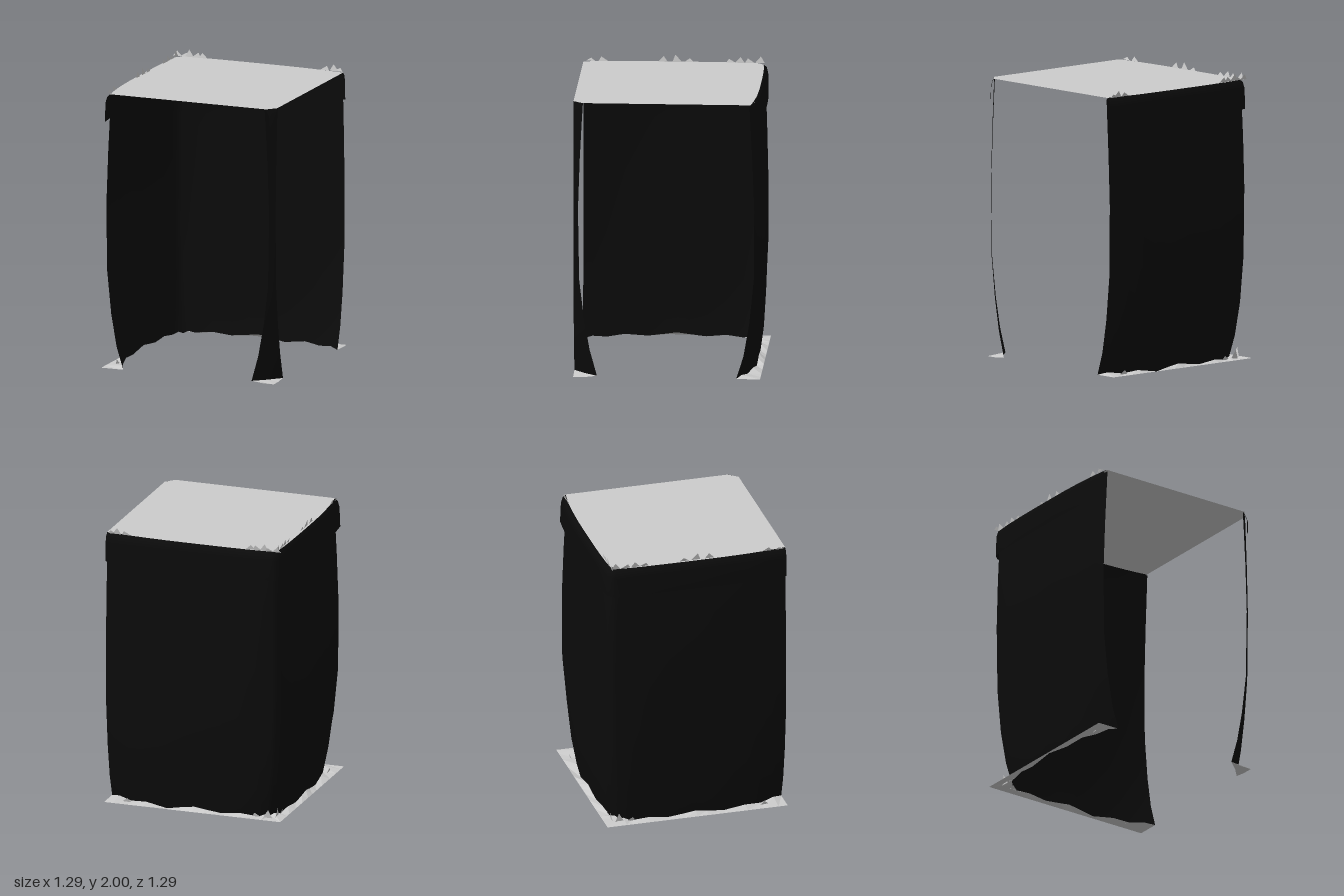
import * as THREE from 'three';

const H = 0.645; // half width of the square footprint
const TOP = 1.95;
const FLOOR = 0.01;

const black = new THREE.MeshStandardMaterial({ color: 0x0b0b0b, side: THREE.DoubleSide });
const grey = new THREE.MeshStandardMaterial({ color: 0xcccccc, side: THREE.DoubleSide, flatShading: true });

// Bowed L-shaped outline: along the back, round the corner, along the side.
// e = depth at the open ends, m = depth at mid wall, c = depth at the corner.
function outline(e, m, c) {
  const half = [H, 0.58, 0.48, 0.36, 0.2, 0.08, 0, -0.08, -0.2, -0.34, -0.46].map((x) => {
    const k = Math.pow(Math.abs(x) / H, 3);
    const end = x > 0 ? e : e + (m - e) * 0.5;
    return [x, -(m - (m - end) * k)];
  });
  half.push([-(c - 0.025), -Math.min(H, c + 0.022)]);
  const mirrored = half.map(([x, z]) => [z, x]).reverse();
  return [...half, [-c, -c], ...mirrored];
}

// Surface through rows of points that all have the same length.
function loft(name, rows, material) {
  const n = rows[0].length;
  const index = [];
  for (let r = 0; r < rows.length - 1; r++) {
    for (let i = 0; i < n - 1; i++) {
      const a = r * n + i, b = a + n;
      index.push(a, b, a + 1, a + 1, b, b + 1);
    }
  }
  const geometry = new THREE.BufferGeometry();
  geometry.setAttribute('position', new THREE.Float32BufferAttribute(rows.flat(2), 3));
  geometry.setIndex(index);
  geometry.computeVertexNormals();
  const mesh = new THREE.Mesh(geometry, material);
  mesh.name = name;
  return mesh;
}

const atHeight = (path, y) => path.map(([x, z]) => [x, y, z]);

// Ragged lower edge of the walls, with a hump at the middle of each side
const ragged = (path) => path.map(([x, z], i) => {
  const along = Math.max(x, z);
  const hump = Math.abs(along) < 0.05 ? 0.035 : 0.01 + 0.014 * (i % 2);
  return [x, i === 4 ? 0 : hump, z];
});

// Row of small upright torn triangles along the back, or along the side
function shards(name, list, depth, y, onSide) {
  const pos = [];
  list.forEach(([at, h], i) => {
    const w = 0.035;
    const tri = [[at - w, y, -depth], [at + w * 0.9, y, -depth], [at + (i % 2 ? 0.012 : -0.008), y + h, -depth - 0.008]];
    tri.forEach(([a, b, c]) => pos.push(...(onSide ? [c, b, a] : [a, b, c])));
  });
  const geometry = new THREE.BufferGeometry();
  geometry.setAttribute('position', new THREE.Float32BufferAttribute(pos, 3));
  geometry.computeVertexNormals();
  const mesh = new THREE.Mesh(geometry, grey);
  mesh.name = name;
  return mesh;
}

export function createModel() {
  const group = new THREE.Group();
  group.name = 'openCoveredBox';

  // Back and side walls, bulging at mid height
  const foot = ragged(outline(0.48, 0.6, 0.53));
  const levels = [
    [0.17, 0.53, 0.622, 0.56],
    [0.4, 0.57, 0.634, 0.585],
    [0.72, 0.602, 0.645, 0.602],
    [1.2, 0.605, 0.645, 0.606],
    [1.55, 0.592, 0.638, 0.6],
    [1.82, 0.578, 0.628, 0.592],
    [TOP - 0.01, 0.572, 0.61, 0.575],
  ];
  const wallRows = levels.map(([y, e, m, c]) => atHeight(outline(e, m, c), y));
  group.add(loft('walls', [foot, ...wallRows], black));

  // Collar hanging from the lid over the walls
  const rim = outline(0.578, 0.614, 0.578);
  const collar = [
    [1.75, 0.618, H, 0.61],
    [1.89, 0.612, H, 0.607],
    [1.93, 0.6, 0.636, 0.598],
  ].map(([y, e, m, c]) => atHeight(outline(e, m, c), y));
  group.add(loft('collar', [...collar, atHeight(rim, TOP)], black));

  // Flat lid with the front corner cut off
  const lidShape = new THREE.Shape(
    [...rim, [0.59, H], [H, 0.58]].map(([x, z]) => new THREE.Vector2(x, -z)));
  const lid = new THREE.Mesh(new THREE.ShapeGeometry(lidShape).rotateX(-Math.PI / 2), grey);
  lid.position.y = TOP;
  lid.name = 'lid';
  group.add(lid);

  // Floor fringe between the wall foot and the square outline
  const n = foot.length, mid = (n - 1) / 2;
  const edge = foot.map(([x, , z], i) =>
    i === mid ? [-H, FLOOR, -H] : i < mid ? [x, FLOOR, -H] : [-H, FLOOR, z]);
  group.add(loft('floorFringe', [foot, edge], grey));

  // Narrow strip of wall across the front corner, flared at the foot
  const strip = (leg, y) => [
    [H, y, H - leg], [H - leg * 0.47, y, H - leg * 0.47], [H - leg, y, H]];
  const stripRows = [
    [0.02, 0.165], [0.2, 0.115], [0.42, 0.075], [0.7, 0.042], [1.2, 0.034],
    [1.55, 0.046], [1.82, 0.06], [TOP, 0.068],
  ].map(([y, leg]) => strip(leg, y));
  group.add(loft('cornerStrip', stripRows, black));
  group.add(loft('cornerCollar', [strip(0.03, 1.8), strip(0.034, 1.9), strip(0.062, TOP)], black));
  group.add(loft('cornerFloor', [strip(0.165, 0.02),
    [[H, FLOOR, H - 0.08], [H, FLOOR, H], [H - 0.08, FLOOR, H]]], grey));

  // Torn shards along the lid edge and at the wall foot
  group.add(shards('backLidShards', [[-0.6, 0.035], [-0.55, 0.025], [-0.51, 0.05], [-0.46, 0.035],
    [-0.41, 0.035], [0.5, 0.03], [0.57, 0.045], [0.6, 0.025]], 0.6, TOP, false));
  group.add(shards('sideLidShards', [[-0.57, 0.045], [-0.5, 0.03], [-0.43, 0.04], [-0.37, 0.025],
    [-0.08, 0.025], [0, 0.05], [0.1, 0.04], [0.51, 0.03], [0.6, 0.02]], 0.6, TOP, true));
  group.add(shards('backFootShards', [[-0.53, 0.06], [-0.45, 0.03], [0.5, 0.03]], 0.585, FLOOR, false));
  group.add(shards('sideFootShards', [[-0.54, 0.07], [-0.46, 0.03], [0.5, 0.03]], 0.585, FLOOR, true));

  return group;
}
